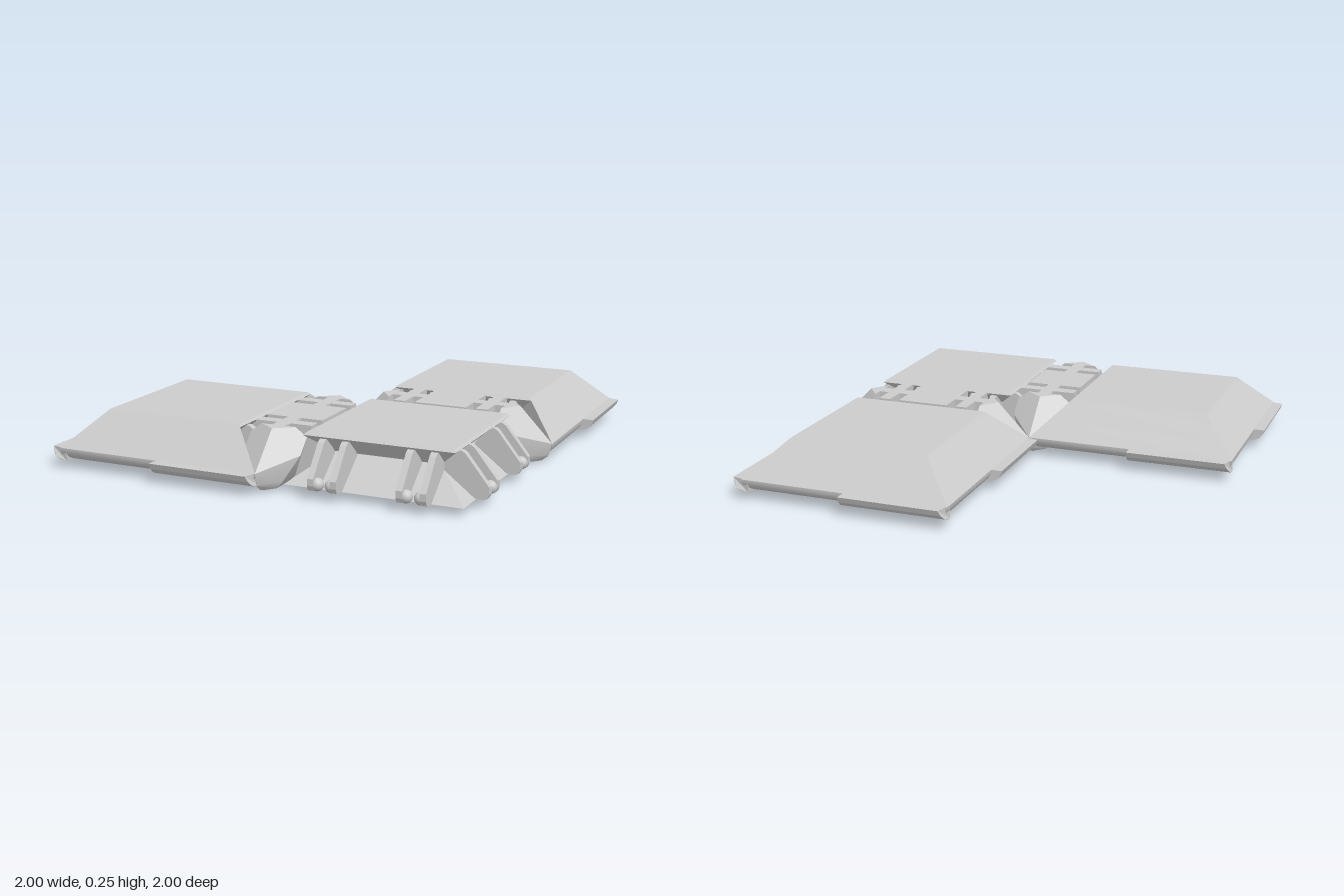
import * as THREE from 'three';
import { toCreasedNormals } from 'three/addons/utils/BufferGeometryUtils.js';
import { ConvexGeometry } from 'three/addons/geometries/ConvexGeometry.js';

const material = new THREE.MeshStandardMaterial({ color: 0xcccccc });
const HALF = 0.475; // half the pitch of one square panel

function add(parent, name, geometry) {
  const mesh = new THREE.Mesh(geometry, material);
  mesh.name = name;
  parent.add(mesh);
  return mesh;
}

// Profile in (outward, up), extruded along z from z0 to z1
function extrude(points, z0, z1) {
  const shape = new THREE.Shape(points.map(p => new THREE.Vector2(...p)));
  const geometry = new THREE.ExtrudeGeometry(shape, { depth: z1 - z0, bevelEnabled: false });
  return geometry.translate(0, 0, z0);
}

// Stacked rings, top to bottom: [y, half width, half width on the recessed +x side]
function stack(levels) {
  const rings = levels.map(([y, h, r]) =>
    [[-h, -h], [-h, h], [h, h], [r, r], [r, -r], [h, -h]].map(([x, z]) => new THREE.Vector3(x, y, z)));
  const pos = [];
  const tri = new THREE.Triangle();
  const face = (a, b, c) => {
    if (tri.set(a, b, c).getArea() > 1e-7) pos.push(...a.toArray(), ...b.toArray(), ...c.toArray());
  };
  for (let i = 0; i + 1 < rings.length; i++) {
    for (let j = 0; j < 6; j++) {
      const k = (j + 1) % 6;
      face(rings[i][j], rings[i + 1][j], rings[i + 1][k]);
      face(rings[i][j], rings[i + 1][k], rings[i][k]);
    }
  }
  const geometry = new THREE.BufferGeometry();
  geometry.setAttribute('position', new THREE.Float32BufferAttribute(pos, 3));
  return toCreasedNormals(geometry, 0.6);
}

// Four clip arms with round knobs on one side of a panel
function clipArms(parent, angle) {
  const side = new THREE.Group();
  side.name = 'clipArms';
  side.rotation.y = angle;
  parent.add(side);
  const profile = [[0.24, 0.15], [0.37, 0.04], [0.42, 0.035], [0.438, 0.042], [0.445, 0.06],
    [0.445, 0.09], [0.345, 0.215], [0.33, 0.225], [0.30, 0.225]];
  for (const pair of [-0.192, 0.192]) {
    for (const s of [-1, 1]) {
      const z = pair + s * 0.05;
      add(side, 'arm', extrude(profile, z - 0.014, z + 0.014));
      const knob = add(side, 'knob', new THREE.SphereGeometry(0.028, 16, 12));
      knob.position.set(0.417, 0.063, z - s * 0.018);
    }
  }
}

// Overlapping lip on half of one panel edge, chamfered at its outer corner
function lip(parent, angle) {
  const geometry = extrude([[-0.03, 0.035], [0, 0.037], [0.025, 0.048], [0.04, 0.065],
    [0.05, 0.09], [-0.03, 0.09]], -HALF, -0.005);
  const p = geometry.attributes.position;
  for (let i = 0; i < p.count; i++) {
    if (p.getX(i) > 0.03 && p.getZ(i) < -0.4) p.setZ(i, -HALF + (p.getX(i) - 0.03));
  }
  geometry.translate(HALF, 0, 0);
  geometry.computeVertexNormals();
  add(parent, 'edgeLip', geometry).rotation.y = angle;
}

// Outer panel: three sloped sides with lips, one recessed clip side
function outerPanel(name) {
  const panel = new THREE.Group();
  panel.name = name;
  add(panel, 'panelShell', stack([
    [0.245, 0, 0], [0.245, 0.318, 0.318], [0.235, 0.328, 0.328], [0.155, 0.409, 0.235],
    [0.09, 0.475, 0.319], [0.07, 0.474, 0.345], [0.052, 0.462, 0.368],
    [0.04, 0.44, 0.385], [0.033, 0.41, 0.39], [0.033, 0, 0]]));
  clipArms(panel, 0);
  for (const a of [Math.PI, Math.PI / 2, -Math.PI / 2]) lip(panel, a);
  return panel;
}

// Centre panel: recessed clips on all four sides
function centrePanel() {
  const panel = new THREE.Group();
  panel.name = 'centrePanel';
  add(panel, 'panelCore', stack([
    [0.245, 0], [0.245, 0.32], [0.235, 0.33], [0.155, 0.235], [0.035, 0.39], [0.033, 0]
  ].map(([y, h]) => [y, h, h])));
  for (let i = 0; i < 4; i++) clipArms(panel, i * Math.PI / 2);
  return panel;
}

// Hinge bar: slotted middle and two pointed ends
function hingeBar() {
  const bar = new THREE.Group();
  bar.name = 'hingeBar';
  const mirrored = half => [...half, ...half.slice().reverse().map(([x, y]) => [-x, y])];
  const full = mirrored([[0.02, 0.001], [0.05, 0.012], [0.075, 0.04], [0.13, 0.2], [0.13, 0.245]]);
  const core = mirrored([[0.02, 0.001], [0.03, 0.004], [0.03, 0.245]]);
  add(bar, 'barCore', extrude(core, -0.265, 0.265));
  for (const [a, b] of [[-0.22, -0.165], [-0.12, 0.12], [0.165, 0.22]]) {
    add(bar, 'barBlock', extrude(full, a, b));
  }
  const corners = [[0, 0.245, 0.325], [0.08, 0.245, 0.265], [0.13, 0.206, 0.265], [0.13, 0.144, 0.325],
    [0, 0.09, 0.475], [0, 0.035, 0.46], [0, 0.01, 0.43], [0, 0, 0.39], [0, 0, 0.265],
    [0.05, 0.012, 0.265], [0.05, 0.012, 0.385], [0.075, 0.04, 0.265], [0.075, 0.04, 0.38]];
  for (const s of [-1, 1]) {
    const points = corners.flatMap(([x, y, z]) =>
      (x ? [x, -x] : [0]).map(v => new THREE.Vector3(v, y, s * z)));
    add(bar, 'barEnd', toCreasedNormals(new ConvexGeometry(points), 0.5));
  }
  return bar;
}

export function createModel() {
  const model = new THREE.Group();
  model.name = 'foldingPanels';
  const place = (part, x, z, angle = 0) => {
    part.position.set(x, 0, z);
    part.rotation.y = angle;
    model.add(part);
  };
  place(outerPanel('rightPanel'), -HALF, HALF);
  place(outerPanel('backPanel'), HALF, -HALF, -Math.PI / 2);
  place(centrePanel(), HALF, HALF);
  place(hingeBar(), 0, HALF);
  place(hingeBar(), HALF, 0, Math.PI / 2);
  return model;
}
